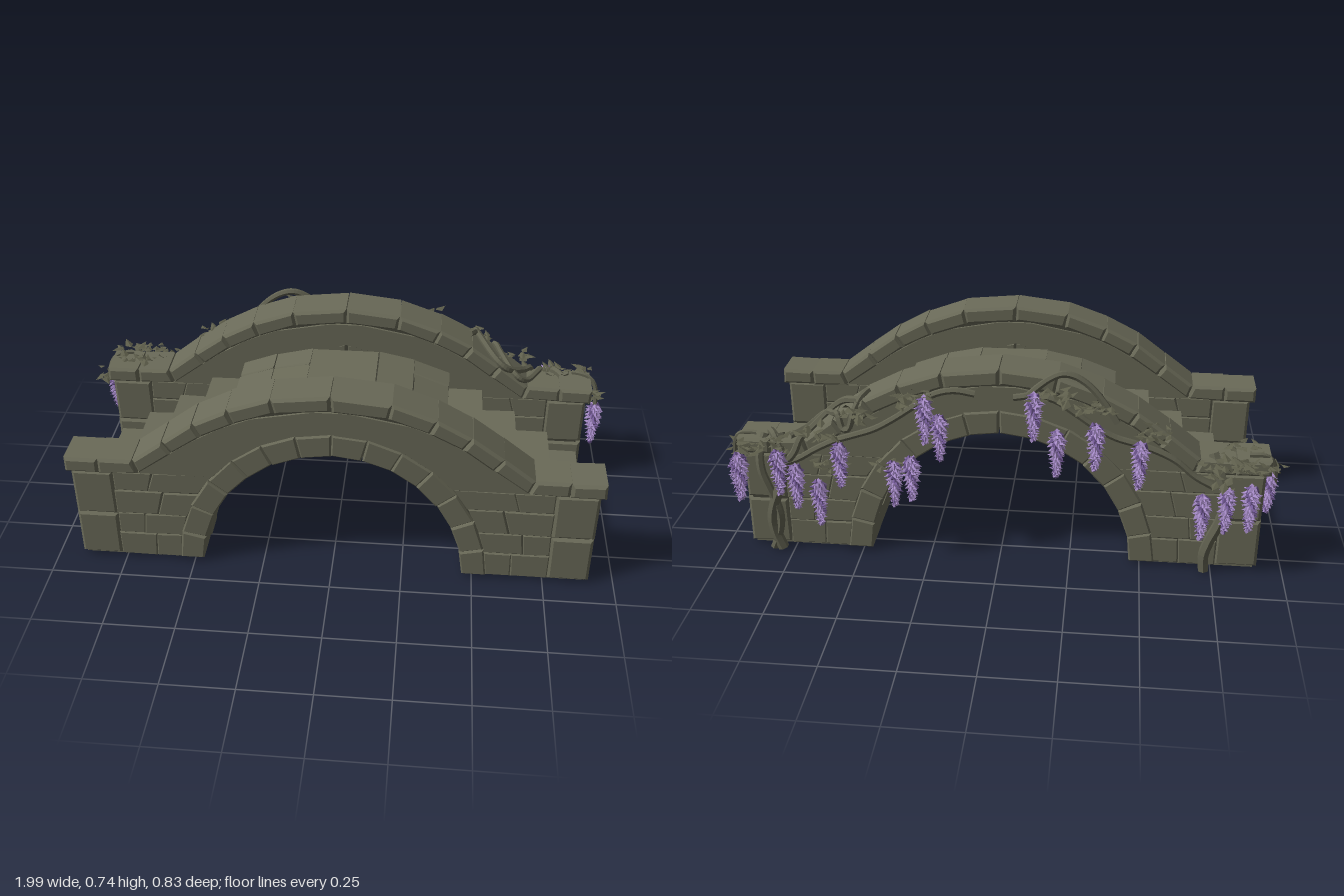
import * as THREE from 'three';
import { mergeGeometries } from 'three/addons/utils/BufferGeometryUtils.js';

const mat = (name, color, extra = {}) => {
  const m = new THREE.MeshStandardMaterial({ color, flatShading: true, ...extra });
  m.name = name;
  return m;
};

export function createModel() {
  const stoneMat = mat('stone', 0x6a6a58);
  const mortarMat = mat('mortar', 0x45453a);
  const vineMat = mat('vine bark', 0x626251);
  const leafMat = mat('leaf', 0x5e5e4b, { side: THREE.DoubleSide });
  const petalMat = mat('petal', 0xa58ac6);
  const budMat = mat('dark petal', 0x735a96);

  const root = new THREE.Group();
  root.name = 'stoneBridge';
  let seed = 7;
  const rnd = () => (seed = (seed * 16807) % 2147483647) / 2147483647;
  const jit = (a) => (rnd() - 0.5) * 2 * a;
  const range = (n, f) => Array.from({ length: n }, (_, i) => f(i));

  const add = (name, geos, material) => {
    const mesh = new THREE.Mesh(mergeGeometries(geos), material);
    mesh.name = name;
    root.add(mesh);
  };
  const shapeOf = (pts) => new THREE.Shape(pts.map(([x, y]) => new THREE.Vector2(x, y)));
  const flip = (pts, s) => pts.map(([x, y]) => [s * x, y]);
  const rect = (x0, x1, y0, y1) => [[x0, y0], [x1, y0], [x1, y1], [x0, y1]];

  // Bevelled stone: an x-y polygon, a little irregular, carried from z0 to z1
  const stone = (pts, z0, z1, b = 0.006, gap = 0.0008, rough = 0.002) => {
    const g = new THREE.ExtrudeGeometry(shapeOf(pts.map(([x, y]) => [x + jit(rough), y + jit(rough)])), {
      depth: z1 - z0 - 2 * (b + gap), bevelEnabled: true, bevelSize: b, bevelThickness: b,
      bevelOffset: -b - gap, bevelSegments: 1,
    });
    return g.translate(0, 0, z0 + b + gap + jit(rough));
  };
  // Row of stones sharing one polygon, split across the walkway at the given z
  const row = (pts, cuts) => {
    const zs = [-0.192, ...cuts, 0.272];
    return range(zs.length - 1, (i) => stone(pts, zs[i], zs[i + 1]));
  };
  const oval = (a, rx, ry) => [Math.cos(a) * rx, Math.max(0.012, Math.sin(a) * ry)];

  // Right half of the coping outline, from the middle outwards, and its parallels
  const copeTop = [[0, 0.735], [0.2, 0.715], [0.35, 0.662], [0.47, 0.6], [0.58, 0.52], [0.69, 0.437], [0.81, 0.435], [0.93, 0.435]];
  const below = (d) => copeTop.map(([x, y], i) => {
    const [px, py] = copeTop[i - 1] ?? [-0.2, 0.715];
    const [nx, ny] = copeTop[i + 1] ?? [1.05, 0.435];
    const l = Math.hypot(nx - px, ny - py);
    return [x + ((ny - py) / l) * d, y - ((nx - px) / l) * d];
  });
  const copeLow = below(0.06);
  const along = (pts, v, k) => {
    const i = Math.max(1, pts.findIndex((p) => (k ? p[k] <= v : p[k] >= v)));
    const [p, q] = [pts[i - 1], pts[i]];
    return p[1 - k] + ((v - p[k]) / (q[k] - p[k])) * (q[1 - k] - p[1 - k]);
  };
  const copeY = (x) => along(copeTop, Math.min(0.93, Math.abs(x)), 0);
  const walls = [[0.27, 0.4], [-0.325, -0.19]];
  const treads = range(4, (i) => ({ x: 0.78 - 0.13 * i, y: 0.155 + 0.087 * i }));

  // Cores that show in the joints
  const outline = (half) => [
    ...range(25, (i) => oval((i / 24) * Math.PI, 0.475, 0.512)),
    ...flip(half.slice(1), -1).reverse(), ...half,
  ];
  const wallTop = [...below(0.045).map(([x, y]) => [Math.min(x, 0.895), y]), [0.895, 0.018]];
  const walkTop = [[0, 0.55], [0.12, 0.55], [0.26, 0.515],
    ...treads.map((t) => [t.x, t.y - 0.01]).reverse(), [0.885, 0.14], [0.885, 0.018]];
  const slab = (half, z0, z1) => new THREE.ExtrudeGeometry(shapeOf(outline(half)),
    { depth: z1 - z0, bevelEnabled: false }).translate(0, 0, z0);
  add('mortarCore', [...walls.map(([a, b]) => slab(wallTop, a + 0.006, b - 0.006)), slab(walkTop, -0.195, 0.275)], mortarMat);

  // Flat undersides of both piers
  add('pierBase', [-1, 1].map((s) => new THREE.BoxGeometry(0.43, 0.016, 0.715).translate(s * 0.683, 0.018, 0.037)), stoneMat);

  // Parapets: coping stones, corner pillars and wall courses, nearly seamless above the pillars
  const coping = [], pillars = [], bricks = [];
  const courses = [0.012, 0.11, 0.2, 0.3, 0.382, 0.45, 0.52, 0.585, 0.63, 0.67];
  const ringX = (y) => (y >= 0.585 ? 0 : 0.545 * Math.sqrt(1 - (y / 0.585) ** 2));
  for (const [a, b] of walls) for (const s of [-1, 1]) {
    for (let i = 0; i < copeTop.length - 1; i++)
      coping.push(stone(flip([copeTop[i], copeTop[i + 1], copeLow[i + 1], copeLow[i]], s), a - 0.008, b + 0.009, 0.01));
    for (const y of [0.01, 0.195])
      pillars.push(stone(flip(rect(0.762, 0.912, y, y + 0.187), s), a - 0.002, b + 0.004, 0.011));
    for (let r = 0; r < courses.length - 1; r++) {
      const corner = (k, t) => {
        const y = courses[k];
        const outer = r < 4 ? 0.765 : along(copeLow, y, 1) + 0.008;
        return [ringX(y) + t * (outer - ringX(y)), y];
      };
      const edges = r < 4 ? [0, r % 2 ? 0.6 : 0.42, 1] : [0, 1];
      const finish = r < 4 ? [0.004, 0.0004, 0.002] : [0.001, -0.001, 0];
      for (let i = 0; i < edges.length - 1; i++) {
        const [t, u] = [edges[i], edges[i + 1]];
        bricks.push(stone(flip([corner(r, t), corner(r, u), corner(r + 1, u), corner(r + 1, t)], s), a, b, ...finish));
      }
    }
  }
  add('parapetCoping', coping, stoneMat);
  add('cornerPillars', pillars, stoneMat);
  add('wallBricks', bricks, stoneMat);

  // Arch: wedge stones on both faces and a staggered vault between
  const ring = [], vault = [], N = 14;
  for (let i = 0; i < N; i++) {
    const [t0, t1] = [(i / N) * Math.PI, ((i + 1) / N) * Math.PI];
    const wedge = (d) => [oval(t0, 0.462, 0.497), oval(t0, 0.462 + d, 0.497 + d), oval(t1, 0.462 + d, 0.497 + d), oval(t1, 0.462, 0.497)];
    ring.push(stone(wedge(0.088), 0.272, 0.407), stone(wedge(0.088), -0.332, -0.192));
    vault.push(...row(wedge(0.043), i % 2 ? [-0.03, 0.16] : [0.06]));
  }
  add('archRing', ring, stoneMat);
  add('archVault', vault, stoneMat);

  // Stairs at both ends and the gently sloping paving over the crown
  const steps = [], paving = [];
  for (const s of [-1, 1]) {
    treads.forEach(({ x, y }, i) => {
      const pts = rect(x - 0.01, Math.min(x + 0.13, 0.9), Math.max(y - 0.1, 0.1), y);
      steps.push(...row(flip(pts, s), i % 2 ? [] : [0.11 - 0.02 * i]));
    });
    steps.push(...row(flip(rect(0.78, 0.902, 0.01, 0.1), s), [-0.1, 0.16]));
    paving.push(...row(flip([[0.26, 0.485], [0.39, 0.39], [0.39, 0.488], [0.26, 0.537]], s), [-0.09, 0.15]));
    paving.push(...row(flip([[0.125, 0.515], [0.26, 0.485], [0.26, 0.537], [0.125, 0.566]], s), [s * 0.08]));
  }
  paving.push(...row(rect(-0.125, 0.125, 0.515, 0.566), [0.17]));
  add('steps', steps, stoneMat);
  add('crownPaving', paving, stoneMat);

  // Vines: trunks climb the back wall, runners wind over the coping, tendrils hang at the ends
  const vine = (r, n, f) => new THREE.TubeGeometry(
    new THREE.CatmullRomCurve3(range(n + 1, (i) => new THREE.Vector3(...f(i / n)))), n * 4, r, 6);
  const trunk = (x, r, turn) => vine(r, 7, (t) =>
    [x + 0.03 * Math.sin(t * 6 + turn), 0.004 + t * (copeY(x) + 0.006), -0.348 + 0.05 * t ** 6]);
  const runner = (x0, x1, r, turn) => vine(r, 14, (t) => {
    const x = x0 + t * (x1 - x0), c = Math.sin(t * 7 + turn);
    return [x, copeY(x) + 0.008 - Math.max(0, c - 0.7) * 0.25, -0.272 - 0.078 * c];
  });
  const creeper = (x0, x1, drop) => vine(0.012, 10, (t) => {
    const x = x0 + t * (x1 - x0);
    return [x, copeY(x) - drop + 0.03 * Math.sin(t * 9), -0.342];
  });
  const tendril = (x, s) => vine(0.009, 5, (t) =>
    [x + s * 0.1 * Math.sin(t * 1.57), 0.445 - 0.12 * t ** 3, -0.3 + 0.03 * t]);
  add('vines', [
    trunk(0.79, 0.02, 0), trunk(0.82, 0.015, 3), trunk(-0.75, 0.02, 1),
    runner(0.82, 0.48, 0.014, 0), runner(0.74, 0.46, 0.012, 2.5),
    creeper(0.78, 0.08, 0.09), creeper(-0.74, -0.05, 0.1), tendril(0.86, 1), tendril(-0.85, -1),
    // Loop that rises over the back coping near the crown
    vine(0.012, 8, (t) => [-0.4 + 0.3 * t, copeY(-0.4 + 0.3 * t) - 0.07 + 0.095 * Math.sin(t * Math.PI), -0.345 + 0.02 * Math.sin(t * Math.PI)]),
    vine(0.007, 3, (t) => [0.906, 0.012 + 0.065 * t, 0.012 * Math.sin(t * 5)]),
  ], vineMat);

  // Folded, pointed leaf along +y
  const leaf = (len) => {
    const w = len * 0.33;
    const g = new THREE.BufferGeometry();
    g.setAttribute('position', new THREE.Float32BufferAttribute([
      0, 0, 0, w, len * 0.4, w * 0.4, 0, len, 0, 0, 0, 0, 0, len, 0, -w, len * 0.4, w * 0.4], 3));
    g.computeVertexNormals();
    return g;
  };
  const leaves = [];
  const clump = (x, y, z, w, n) => {
    for (let i = 0; i < n; i++) leaves.push(leaf(0.05 * (0.6 + rnd() * 0.5))
      .rotateX(1.2 + rnd() * 1.1).rotateY(rnd() * 6.28)
      .translate(x + jit(w), y + jit(0.02), z + jit(0.022)));
  };
  // Clumps along the back edge, then at both ends and lower on the wall
  for (const x of [-0.87, -0.76, -0.53, -0.32, -0.18, 0.28, 0.5, 0.62, 0.8, 0.88])
    clump(x, copeY(x) - (Math.abs(x) < 0.4 ? 0.05 : 0.01), -0.347, 0.06, 24);
  for (const s of [-1, 1]) clump(s * 0.95, 0.38, -0.25, 0.02, 13);
  clump(-0.84, 0.445, -0.25, 0.07, 20);
  for (const x of [-0.78, 0.36, 0.6]) clump(x, 0.37, -0.355, 0.06, 12);
  // Small sprout on the bottom step
  for (let i = 0; i < 12; i++) leaves.push(leaf(0.045).rotateZ(-0.5 - rnd() * 0.5)
    .rotateY(rnd() * 6.28).translate(0.91 + jit(0.006), 0.03 + rnd() * 0.04, jit(0.02)));
  add('leaves', leaves, leafMat);

  // Hanging blossom clusters: broad shoulders tapering to a point
  const petals = [], buds = [];
  const blossom = (x, y, z, len) => {
    for (let i = 0; i < 110; i++) {
      const t = i / 110;
      const r = 0.03 * Math.min(1, 0.5 + t * 3) * (1 - t) ** 0.55 * (0.8 + 0.3 * rnd());
      const g = new THREE.ConeGeometry(0.0095, 0.024, 4).rotateZ(-1.9 + jit(0.6)).translate(r, 0, 0).rotateY(i * 2.4)
        .translate(x, y + len * (0.5 - t), z + jit(0.003));
      (i % 4 === 0 ? buds : petals).push(g);
    }
  };
  for (const [x, y] of [[0.91, 0.31], [0.77, 0.33], [0.71, 0.28], [0.63, 0.22], [0.55, 0.37], [0.36, 0.31], [0.3, 0.33], [0.25, 0.55],
    [0.2, 0.49], [-0.12, 0.58], [-0.2, 0.45], [-0.33, 0.48], [-0.48, 0.42], [-0.7, 0.24], [-0.78, 0.27], [-0.86, 0.28]])
    blossom(x, y, -0.385 + 0.06 * Math.max(0, y - 0.25), 0.165);
  blossom(0.96, 0.235, -0.27, 0.17);
  blossom(-0.93, 0.285, -0.27, 0.15);
  add('blossomPetals', petals, petalMat);
  add('blossomBuds', buds, budMat);

  return root;
}
